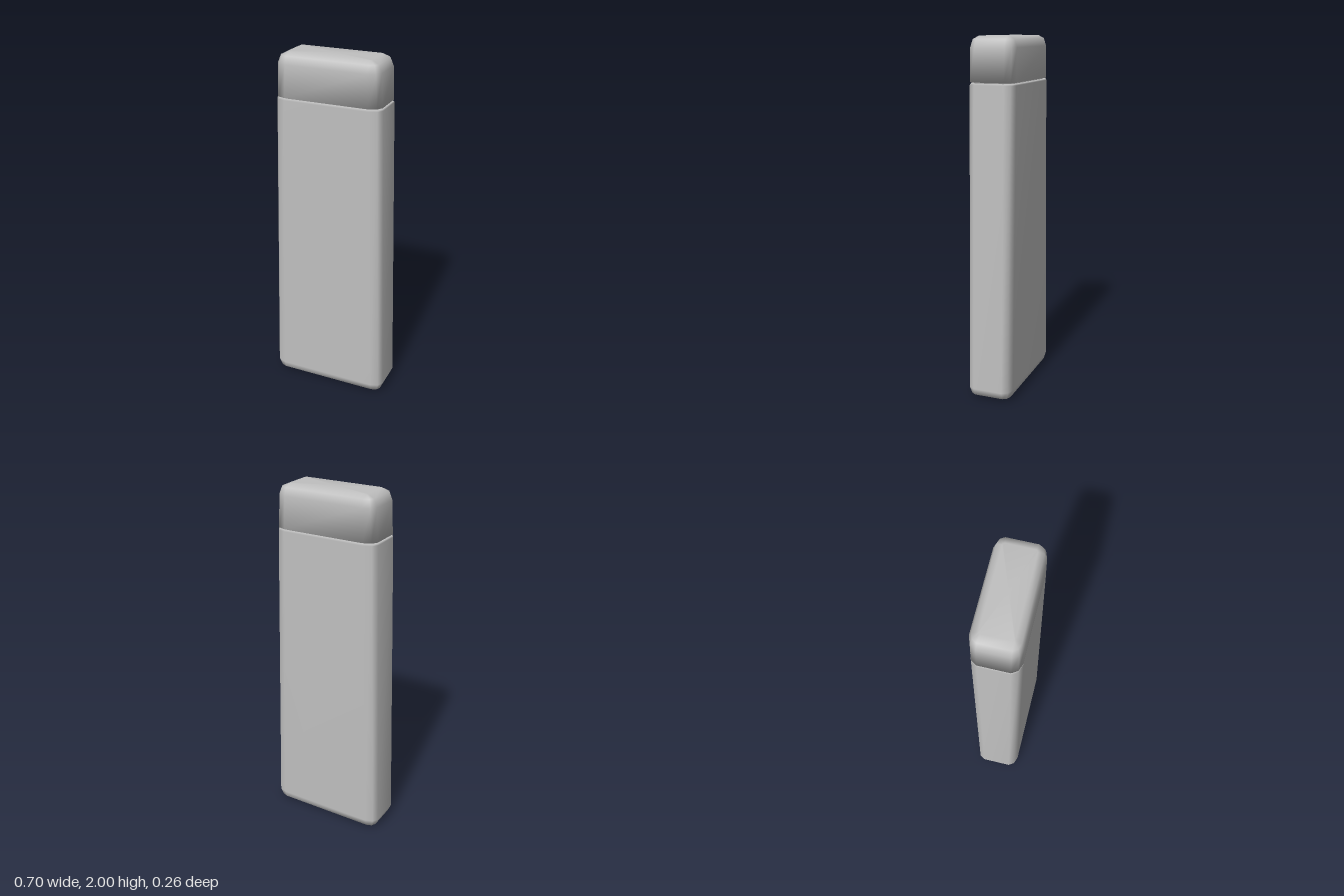
import * as THREE from 'three';

// Rounded-rectangle ring: half sizes hx, hz with corner radii rx, rz
function ring(y, hx, hz, rx, rz) {
  const corner = [[hx, hz - rz], [hx - 0.32 * rx, hz - 0.32 * rz], [hx - rx, hz]];
  const flipped = [...corner].reverse();
  return [
    ...corner,
    ...flipped.map(([x, z]) => [-x, z]),
    ...corner.map(([x, z]) => [-x, -z]),
    ...flipped.map(([x, z]) => [x, -z]),
  ].map(([x, z]) => [x, y, z]);
}

// Closed smooth skin through a stack of rings, listed from bottom to top
function loft(name, rows, material) {
  const rings = rows.map((r) => ring(...r));
  const n = rings[0].length;
  const points = rings.flat();
  const index = [];
  for (let r = 0; r < rings.length - 1; r++) {
    for (let i = 0; i < n; i++) {
      const a = r * n + i, b = r * n + (i + 1) % n;
      index.push(a, a + n, b, b, a + n, b + n);
    }
  }
  // end faces, fanned from a centre point
  const low = points.push([0, rows[0][0], 0]) - 1;
  const high = points.push([0, rows[rows.length - 1][0], 0]) - 1;
  const last = (rings.length - 1) * n;
  for (let i = 0; i < n; i++) {
    const j = (i + 1) % n;
    index.push(low, i, j, high, last + j, last + i);
  }
  const geometry = new THREE.BufferGeometry();
  geometry.setAttribute('position', new THREE.Float32BufferAttribute(points.flat(), 3));
  geometry.setIndex(index);
  geometry.computeVertexNormals();
  const mesh = new THREE.Mesh(geometry, material);
  mesh.name = name;
  return mesh;
}

export function createModel() {
  const group = new THREE.Group();
  group.name = 'taperedBottle';
  const grey = new THREE.MeshStandardMaterial({ color: 0xc0c0c0 });
  grey.name = 'plain grey';

  // tapered body with a rounded foot
  group.add(loft('body', [
    [0, 0.287, 0.085, 0.012, 0.01],
    [0.018, 0.33, 0.116, 0.044, 0.034],
    [0.06, 0.348, 0.13, 0.063, 0.047],
    [1.748, 0.303, 0.13, 0.063, 0.047],
    [1.756, 0.298, 0.126, 0.062, 0.046],
  ], grey));

  // recessed neck showing as a thin seam
  group.add(loft('neck', [
    [1.74, 0.28, 0.115, 0.06, 0.045],
    [1.78, 0.28, 0.115, 0.06, 0.045],
  ], grey));

  // cap with a rounded top
  group.add(loft('cap', [
    [1.762, 0.3, 0.13, 0.063, 0.047],
    [1.94, 0.292, 0.13, 0.063, 0.047],
    [1.982, 0.274, 0.116, 0.044, 0.034],
    [2, 0.234, 0.085, 0.012, 0.01],
  ], grey));

  return group;
}
